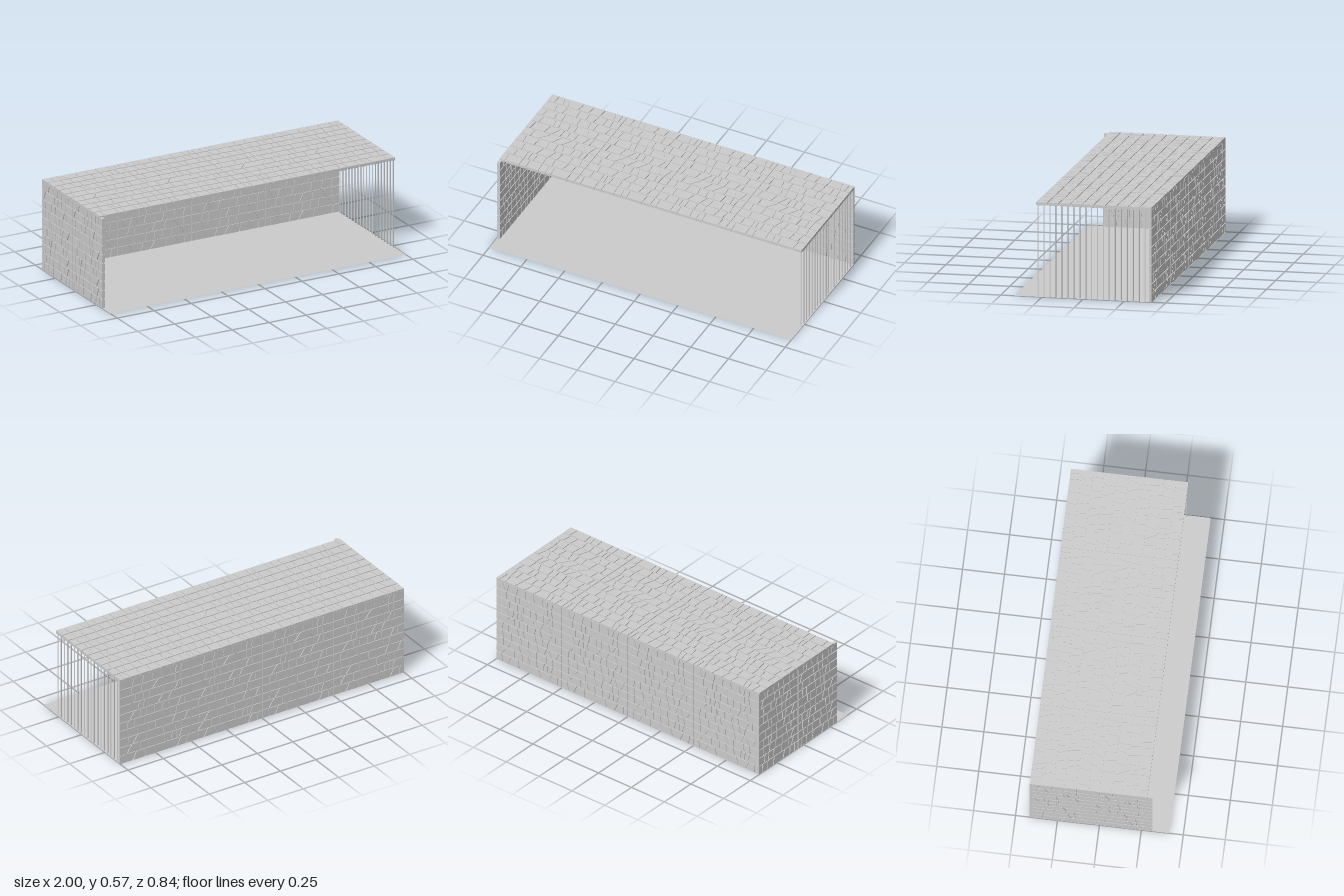
import * as THREE from 'three';
import { mergeGeometries } from 'three/addons/utils/BufferGeometryUtils.js';

const material = new THREE.MeshStandardMaterial({ color: 0xcccccc, flatShading: true, side: THREE.DoubleSide });
const GAP = 0.007;

// Small seeded generator in the range 0..1
function seeded(seed) {
  let s = seed;
  return () => {
    s = (s * 16807) % 2147483647;
    return s / 2147483647;
  };
}

// One row of joints for a tile: lower and upper end of every slanted joint
function rowJoints(width, count, rand) {
  const weights = Array.from({ length: count }, () => 0.45 + rand());
  const total = weights.reduce((a, b) => a + b, 0);
  const joints = [[0, 0]];
  let x = 0;
  for (let i = 0; i < count - 1; i++) {
    x += (weights[i] / total) * width;
    const room = (Math.min(weights[i], weights[i + 1]) / total) * width;
    const slant = (rand() - 0.5) * room * (rand() > 0.6 ? 0.75 : 0.2);
    joints.push([x - slant, x + slant]);
  }
  joints.push([width, width]);
  return joints;
}

// Stone sheet in the XY plane, centred on z = 0, with relief on both faces
function stonePanel(name, { width, height, rows, tiles, stones, thickness, seed }) {
  const rand = seeded(seed);
  const tileWidth = width / tiles, rowHeight = height / rows;
  const core = new THREE.BoxGeometry(width, height, thickness * 0.45);
  core.translate(width / 2, height / 2, 0);
  const parts = [core];
  for (let r = 0; r < rows; r++) {
    const joints = rowJoints(tileWidth, stones + (r % 2), rand);
    const y0 = r * rowHeight + (r ? GAP / 2 : 0);
    const y1 = (r + 1) * rowHeight - (r < rows - 1 ? GAP / 2 : 0);
    for (let i = 0; i < joints.length - 1; i++) {
      const [a, b] = [joints[i], joints[i + 1]];
      for (let t = 0; t < tiles; t++) {
        const x = t * tileWidth;
        const left = t === 0 && i === 0 ? 0 : GAP / 2;
        const right = t === tiles - 1 && i === joints.length - 2 ? 0 : GAP / 2;
        const shape = new THREE.Shape([
          new THREE.Vector2(x + a[0] + left, y0),
          new THREE.Vector2(x + b[0] - right, y0),
          new THREE.Vector2(x + b[1] - right, y1),
          new THREE.Vector2(x + a[1] + left, y1),
        ]);
        const stone = new THREE.ExtrudeGeometry(shape, { depth: thickness, bevelEnabled: false });
        stone.translate(0, 0, -thickness / 2);
        parts.push(stone);
      }
    }
  }
  const mesh = new THREE.Mesh(mergeGeometries(parts.map((g) => (g.index ? g.toNonIndexed() : g))), material);
  mesh.name = name;
  return mesh;
}

export function createModel() {
  const model = new THREE.Group();
  model.name = 'stoneCell';

  // Flat floor reaching out past the open front
  const floor = new THREE.Mesh(new THREE.PlaneGeometry(2, 0.836), material);
  floor.name = 'floor';
  floor.rotation.x = -Math.PI / 2;
  model.add(floor);

  // Back wall
  const back = stonePanel('backWall', {
    width: 2, height: 0.56, rows: 10, tiles: 4, stones: 8, thickness: 0.018, seed: 71,
  });
  back.position.set(-1, 0, -0.407);
  model.add(back);

  // Solid side wall
  const side = stonePanel('sideWall', {
    width: 0.73, height: 0.565, rows: 10, tiles: 2, stones: 7, thickness: 0.018, seed: 1234,
  });
  side.rotation.y = -Math.PI / 2;
  side.position.set(-0.99, 0, -0.415);
  model.add(side);

  // Roof
  const roof = stonePanel('roof', {
    width: 2, height: 0.7, rows: 10, tiles: 4, stones: 8, thickness: 0.018, seed: 507,
  });
  roof.rotation.x = -Math.PI / 2;
  roof.position.set(-1, 0.564, 0.285);
  model.add(roof);

  // Row of upright bars closing the other side
  const bars = new THREE.Group();
  bars.name = 'bars';
  const barGeometry = new THREE.CylinderGeometry(0.004, 0.004, 0.56, 8);
  const count = 20;
  for (let i = 0; i < count; i++) {
    const bar = new THREE.Mesh(barGeometry, material);
    bar.name = 'bar';
    bar.position.set(0.992, 0.28, 0.275 - (i * 0.685) / (count - 1));
    bars.add(bar);
  }
  model.add(bars);

  return model;
}
